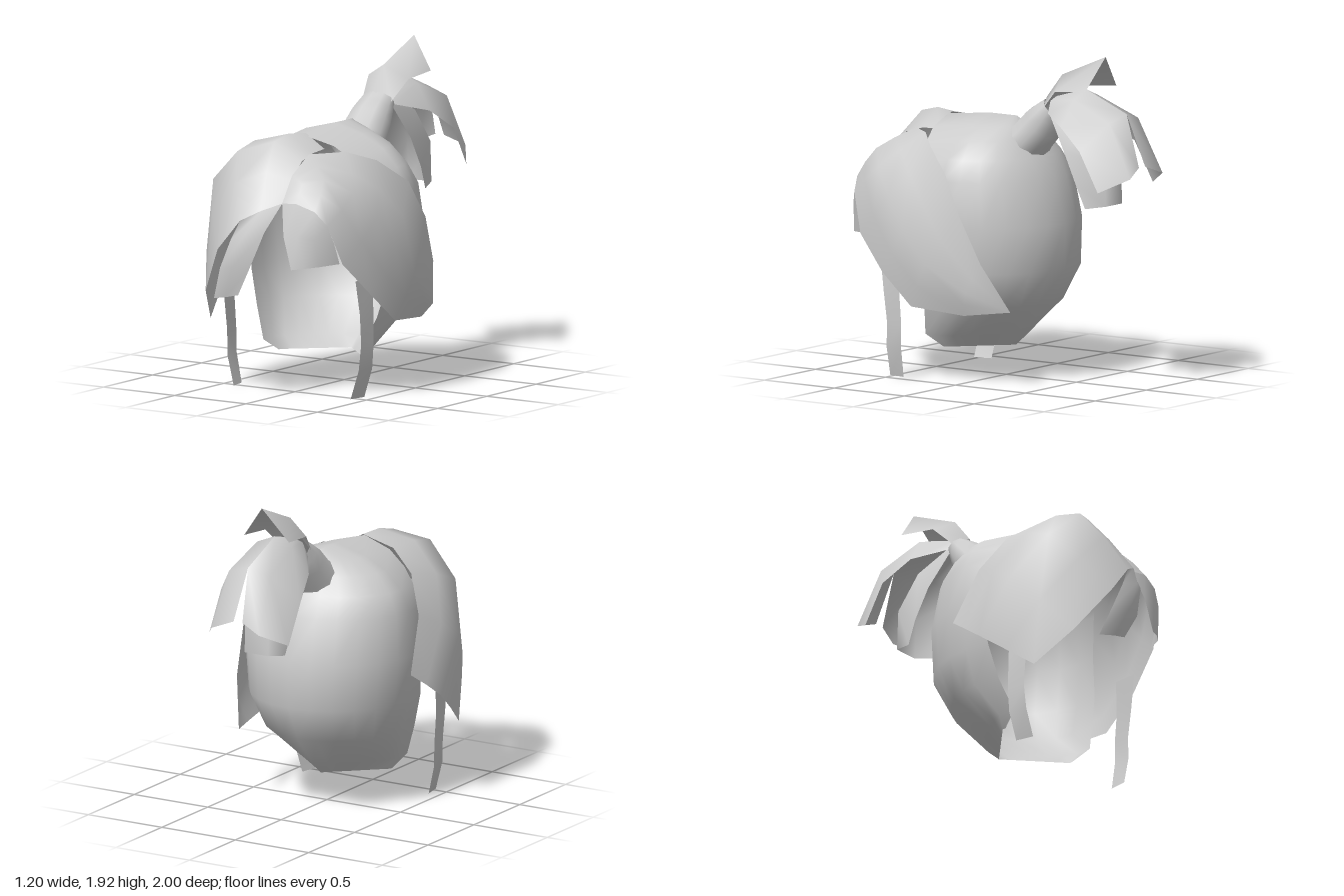
import * as THREE from 'three';
import { mergeVertices } from 'three/addons/utils/BufferGeometryUtils.js';

const V = (p) => new THREE.Vector3(...p);
const mirrorX = (rows) => rows.map((r) => r.map(([x, y, z]) => [-x, y, z]).reverse());

// Smooth sheet through rows of points; each column is resampled into `steps` quads.
function sheet(rows, steps) {
  const cols = rows[0].length;
  const curves = rows[0].map((_, c) => new THREE.CatmullRomCurve3(rows.map((r) => V(r[c])), false, 'catmullrom', 0.5));
  const pos = [], index = [];
  for (let i = 0; i <= steps; i++) {
    for (const curve of curves) pos.push(...curve.getPoint(i / steps).toArray());
  }
  for (let i = 0; i < steps; i++) {
    for (let c = 0; c < cols - 1; c++) {
      const a = i * cols + c, b = a + 1, d = a + cols, e = d + 1;
      index.push(a, d, b, b, d, e);
    }
  }
  let geo = new THREE.BufferGeometry();
  geo.setAttribute('position', new THREE.Float32BufferAttribute(pos, 3));
  geo.setIndex(index);
  geo = mergeVertices(geo, 1e-4);
  geo.computeVertexNormals();
  return geo;
}

export function createModel() {
  const group = new THREE.Group();
  const hair = new THREE.MeshStandardMaterial({ color: 0xcccccc, side: THREE.DoubleSide });
  hair.name = 'hairGrey';
  const add = (name, rows, steps = rows.length - 1) => {
    const mesh = new THREE.Mesh(sheet(rows, steps), hair);
    mesh.name = name;
    group.add(mesh);
  };

  // Back cap: level arcs, open at the front, narrowing to a V at the nape
  // [y, half width, back z, front half width, front y, front z, V share]
  const levels = [
    [1.52, 0, -0.08, 0, 1.49, 0.41, 0], [1.47, 0.2, -0.13, 0.19, 1.44, 0.38, 0], [1.4, 0.34, -0.2, 0.31, 1.36, 0.35, 0],
    [1.3, 0.44, -0.27, 0.4, 1.27, 0.31, 0], [1.18, 0.5, -0.35, 0.46, 1.15, 0.26, 0], [0.92, 0.525, -0.42, 0.5, 0.92, 0.22, 0],
    [0.65, 0.5, -0.42, 0.48, 0.65, 0.25, 0], [0.44, 0.44, -0.32, 0.42, 0.44, 0.28, 0.1],
    [0.25, 0.35, -0.15, 0.34, 0.25, 0.33, 0.6], [0.18, 0.3, -0.07, 0.3, 0.18, 0.23, 1],
  ];
  add('backCap', levels.map(([y, w, zb, wf, yf, zf, vee]) => {
    const arc = [[-wf, yf, zf]];
    const mix = THREE.MathUtils.lerp;
    for (let i = 0; i <= 12; i++) {
      const t = Math.PI * i / 12, u = i / 6 - 1;
      const round = 0.1 - (0.1 - zb) * Math.sin(t);
      const straight = mix(zb, zf - 0.02, Math.abs(u));
      arc.push([w * mix(-Math.cos(t), u, vee), y, mix(round, straight, vee)]);
    }
    arc.push([wf, yf, zf]);
    return arc.reverse();
  }));

  // Large swept panel over the model's right
  add('rightPanel', [
    [[0.13, 1.42, 0.39], [0, 1.5, 0.39], [-0.22, 1.455, 0.37], [-0.38, 1.34, 0.31], [-0.5, 1.13, 0.2], [-0.545, 0.82, 0.04]],
    [[0.13, 1.38, 0.62], [-0.05, 1.48, 0.64], [-0.24, 1.42, 0.74], [-0.45, 1.23, 0.68], [-0.585, 0.96, 0.5], [-0.6, 0.65, 0.28]],
    [[0.13, 1.16, 0.82], [0.04, 1.12, 0.91], [-0.07, 1.06, 0.96], [-0.22, 0.88, 0.97], [-0.4, 0.6, 0.83], [-0.51, 0.4, 0.62]],
  ].map((r) => r.reverse()), 4);

  // Side panel over the model's left
  add('leftPanel', [
    [[0.13, 1.16, 0.82], [0.13, 1.31, 0.72], [0.13, 1.41, 0.55], [0.27, 1.415, 0.38], [0.4, 1.36, 0.25],
      [0.5, 1.22, 0.07], [0.535, 1, -0.05], [0.5, 0.72, -0.18], [0.4, 0.44, -0.32]],
    [[0.13, 1.16, 0.82], [0.22, 1.27, 0.75], [0.33, 1.3, 0.69], [0.46, 1.22, 0.58], [0.54, 1.07, 0.45],
      [0.58, 0.88, 0.32], [0.595, 0.7, 0.15], [0.54, 0.55, -0.1], [0.4, 0.44, -0.32]],
    [[0.13, 1.16, 0.82], [0.23, 1.17, 0.83], [0.35, 1.13, 0.81], [0.42, 1.05, 0.78], [0.47, 0.82, 0.7],
      [0.53, 0.62, 0.5], [0.55, 0.44, 0.28], [0.5, 0.41, -0.06], [0.4, 0.44, -0.32]],
  ].map((r) => r.reverse()), 4);

  // Fringe locks either side of the parting
  add('rightFringe', [
    [[-0.07, 1.06, 0.96], [0.04, 1.12, 0.91], [0.13, 1.16, 0.82]],
    [[-0.13, 0.94, 0.97], [-0.02, 0.98, 0.99], [0.08, 1, 0.93]],
    [[-0.21, 0.77, 0.96], [-0.1, 0.79, 1], [0, 0.78, 0.97]],
    [[-0.28, 0.58, 0.92], [-0.18, 0.6, 0.95], [-0.09, 0.62, 0.95]],
  ]);
  add('leftFringe', [
    [[0.13, 1.16, 0.82], [0.23, 1.17, 0.83], [0.35, 1.13, 0.81], [0.42, 1.05, 0.78]],
    [[0.18, 0.98, 0.88], [0.27, 0.99, 0.87], [0.36, 0.97, 0.83], [0.44, 0.94, 0.74]],
    [[0.24, 0.79, 0.89], [0.31, 0.8, 0.86], [0.38, 0.81, 0.81], [0.45, 0.82, 0.7]],
  ]);

  // Thin locks hanging in front of the ears
  const sideLock = [
    [[0.465, 0.7, 0.56], [0.48, 0.7, 0.41]], [[0.475, 0.5, 0.53], [0.487, 0.5, 0.41]],
    [[0.47, 0.32, 0.51], [0.482, 0.32, 0.4]], [[0.46, 0.17, 0.52], [0.475, 0.17, 0.405]],
    [[0.41, 0, 0.53], [0.43, 0, 0.42]],
  ];
  add('leftSideLock', sideLock);
  add('rightSideLock', mirrorX(sideLock));

  // Gathered neck of the ponytail: tilted rings [y, z, half width, half depth]
  const rings = [[1.33, -0.11, 0.17, 0.15], [1.41, -0.19, 0.145, 0.122], [1.49, -0.265, 0.13, 0.12],
    [1.55, -0.315, 0.115, 0.095], [1.6, -0.355, 0.1, 0.07]];
  add('ponytailNeck', rings.map(([y, z, w, d]) => {
    const ring = [];
    for (let i = 0; i <= 10; i++) {
      const t = Math.PI * 2 * i / 10, rise = d * Math.cos(t) * Math.SQRT1_2;
      ring.push([w * Math.sin(t), y + rise, z + rise]);
    }
    return ring;
  }).reverse());

  // Upright folded leaf on top of the ponytail
  add('ponytailCrest', [
    [[-0.1, 1.59, -0.33], [0, 1.65, -0.29], [0.1, 1.59, -0.33]],
    [[-0.14, 1.71, -0.45], [0, 1.79, -0.4], [0.14, 1.71, -0.45]],
    [[-0.16, 1.73, -0.67], [0, 1.92, -0.71], [0.145, 1.73, -0.67]],
  ].map((r) => r.reverse()).reverse());

  // Two outer tail locks, arching back and down
  const tail = [
    [[0, 1.66, -0.36], [0.06, 1.64, -0.36], [0.1, 1.57, -0.37]],
    [[0, 1.72, -0.57], [0.12, 1.67, -0.57], [0.22, 1.52, -0.55]],
    [[0, 1.6, -0.86], [0.14, 1.56, -0.84], [0.27, 1.4, -0.72]],
    [[0.03, 1.3, -0.97], [0.16, 1.25, -1], [0.27, 1.17, -0.85]],
  ];
  add('leftTailLock', tail);
  add('rightTailLock', mirrorX(tail));

  // Short tail lock underneath
  add('lowerTailLock', [
    [[-0.08, 1.56, -0.37], [-0.04, 1.62, -0.4], [0.04, 1.62, -0.4], [0.08, 1.56, -0.37]],
    [[-0.12, 1.36, -0.5], [-0.07, 1.5, -0.62], [0.07, 1.5, -0.62], [0.12, 1.36, -0.5]],
    [[-0.13, 1.18, -0.59], [-0.08, 1.3, -0.76], [0.08, 1.3, -0.76], [0.13, 1.18, -0.59]],
    [[-0.12, 1.04, -0.65], [-0.08, 1.06, -0.77], [0.08, 1.06, -0.77], [0.12, 1.04, -0.65]],
  ]);

  return group;
}
